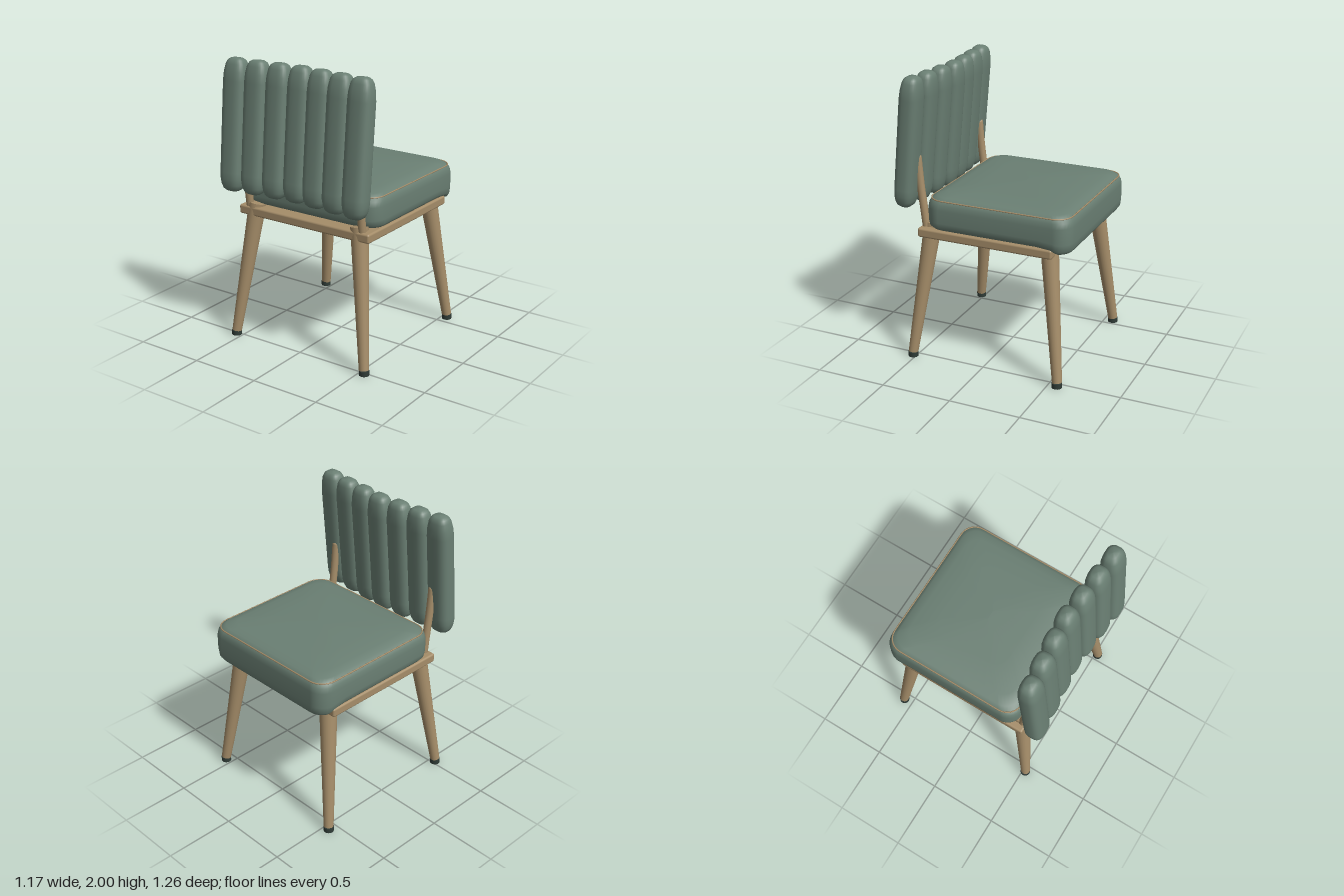
import * as THREE from 'three';
import { RoundedBoxGeometry } from 'three/addons/geometries/RoundedBoxGeometry.js';

const mat = (name, color) => Object.assign(new THREE.MeshStandardMaterial({ color }), { name });

// Smooth skin over closed rings of points, listed from bottom to top
function loft(rings) {
  const n = rings[0].length, pos = [], index = [];
  rings.forEach(ring => ring.forEach(p => pos.push(p.x, p.y, p.z)));
  for (let r = 0; r < rings.length - 1; r++) {
    for (let i = 0; i < n; i++) {
      const a = r * n + i, b = r * n + (i + 1) % n;
      index.push(a, a + n, b, b, a + n, b + n);
    }
  }
  const g = new THREE.BufferGeometry();
  g.setAttribute('position', new THREE.Float32BufferAttribute(pos, 3));
  g.setIndex(index);
  g.computeVertexNormals();
  return g;
}

// Rounded rectangle in the seat plane, inset from the cushion's outline
function seatLoop(inset, y) {
  const hx = 0.55 - inset, hz = 0.52 - inset, cz = -0.11;
  const rad = Math.min(0.11, hz), arc = 7, edge = 8, corners = [];
  [[1, 1], [-1, 1], [-1, -1], [1, -1]].forEach(([sx, sz], k) => {
    for (let i = 0; i <= arc; i++) {
      const t = (k + i / arc) * Math.PI / 2;
      corners.push(new THREE.Vector3(
        sx * (hx - rad) + rad * Math.cos(t), y, cz + sz * (hz - rad) + rad * Math.sin(t)));
    }
  });
  const out = [];
  corners.forEach((p, i) => {
    out.push(p);
    if (i % (arc + 1) === arc) {
      const q = corners[(i + 1) % corners.length];
      for (let j = 1; j < edge; j++) out.push(p.clone().lerp(q, j / edge));
    }
  });
  return out;
}

// One padded upright of the backrest
function channelGeometry() {
  const levels = [[-0.45, 0], [-0.449, 0.5], [-0.435, 0.73], [-0.405, 0.89], [-0.365, 0.98], [-0.32, 1],
    [0.3, 1], [0.36, 0.95], [0.41, 0.83], [0.435, 0.68], [0.448, 0.45], [0.452, 0]];
  const pow = v => Math.sign(v) * Math.abs(v) ** 0.72;
  return loft(levels.map(([y, s]) => Array.from({ length: 28 }, (_, i) => {
    const t = i / 28 * Math.PI * 2;
    return new THREE.Vector3(0.088 * s * pow(Math.cos(t)), y, 0.072 * s * pow(Math.sin(t)));
  })));
}

export function createModel() {
  const group = new THREE.Group();
  const fabric = mat('greenFabric', 0x6a7f73);
  const wood = mat('paleWood', 0xa58d69);
  const rubber = mat('darkRubber', 0x2f3b36);
  const add = (name, geo, material) => {
    const m = new THREE.Mesh(geo, material);
    m.name = name;
    group.add(m);
    return m;
  };

  // Seat board
  add('seatFrame', new RoundedBoxGeometry(1.07, 0.065, 0.975, 3, 0.014), wood).position.set(0, 0.9325, -0.0225);

  // Seat cushion, its front lip sagging over the board
  const levels = [[0.52, 0.965], [0.2, 0.965], [0.1, 0.965], [0.05, 0.965], [0.02, 0.975], [0.005, 0.995],
    [0, 1.03], [0, 1.12], [0.006, 1.155], [0.018, 1.18], [0.045, 1.198], [0.1, 1.212], [0.25, 1.222], [0.52, 1.226]];
  const rings = levels.map(([inset, y]) => seatLoop(inset, y));
  rings.flat().forEach(p => {
    const sag = THREE.MathUtils.smoothstep(-p.z, 0.47, 0.56);
    p.y -= 0.035 * sag * (1 - THREE.MathUtils.smoothstep(p.y, 0.97, 1.1));
  });
  add('seatCushion', loft(rings), fabric);

  // Piping around the cushion's top edge
  const seam = new THREE.CatmullRomCurve3(seatLoop(0.018, 1.181), true);
  add('seatPiping', new THREE.TubeGeometry(seam, 160, 0.005, 6, true), wood);

  // Backrest channels set on a shallow curve
  const channel = channelGeometry();
  for (let i = -3; i <= 3; i++) {
    const m = add('backChannel', channel, fabric);
    m.position.set(i * 0.166, 1.55, 0.48 + 0.045 * Math.abs(i / 3) ** 1.15);
    m.rotation.x = -0.092;
  }

  // Splayed tapered legs with feet, and the backrest posts
  const up = new THREE.Vector3(0, 1, 0);
  for (const side of [1, -1]) {
    for (const [end, zTop, zFoot] of [['back', 0.4, 0.52], ['front', -0.45, -0.567]]) {
      const foot = new THREE.Vector3(side * 0.543, 0.035, zFoot);
      const top = new THREE.Vector3(side * 0.422, 0.985, zTop);
      const dir = top.clone().sub(foot);
      const leg = add(end + 'Leg', new THREE.CylinderGeometry(0.062, 0.034, dir.length(), 24), wood);
      leg.position.copy(foot).add(top).multiplyScalar(0.5);
      leg.quaternion.setFromUnitVectors(up, dir.normalize());
      add(end + 'Foot', new THREE.CylinderGeometry(0.035, 0.035, 0.034, 24), rubber)
        .position.set(side * 0.545, 0.017, zFoot);
    }
    const path = new THREE.CatmullRomCurve3([[0.94, 0.428], [1.08, 0.445], [1.25, 0.467], [1.44, 0.484]]
      .map(([y, z]) => new THREE.Vector3(side * 0.464, y, z)));
    add('backPost', new THREE.TubeGeometry(path, 12, 0.027, 14), wood);
    add('backPostTip', new THREE.SphereGeometry(0.027, 14, 10), wood).position.set(side * 0.464, 1.44, 0.484);
  }
  return group;
}
